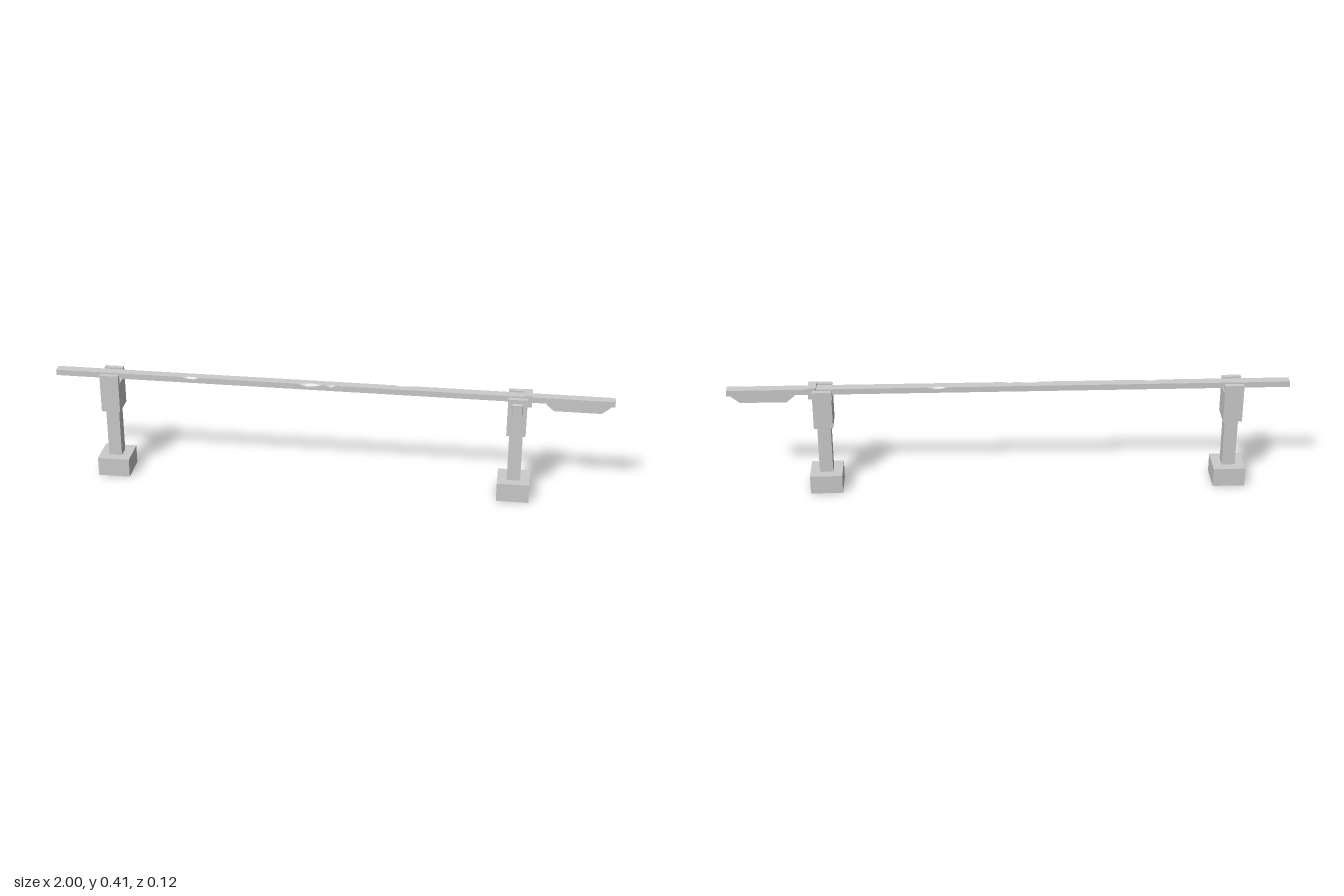
import * as THREE from 'three';

const material = new THREE.MeshStandardMaterial({ color: 0xcccccc, flatShading: true });

function add(parent, name, geometry, x = 0, y = 0, z = 0) {
  const mesh = new THREE.Mesh(geometry, material);
  mesh.name = name;
  mesh.position.set(x, y, z);
  parent.add(mesh);
  return mesh;
}

function box(parent, name, w, h, d, x, y, z) {
  return add(parent, name, new THREE.BoxGeometry(w, h, d), x, y, z);
}

function polygon(points) {
  return new THREE.Shape(points.map(([x, y]) => new THREE.Vector2(x, y)));
}

// Extrusion of an outline, centred on its depth
function slab(points, depth) {
  const geometry = new THREE.ExtrudeGeometry(polygon(points), { depth, bevelEnabled: false });
  return geometry.translate(0, 0, -depth / 2);
}

// Long bar lofted from six-sided sections; worn spots cut the top edges
function barGeometry() {
  const bottom = 0.379, top = 0.4, half = 0.017;
  // x, front edge cut, back edge cut
  const stations = [
    [-1, 0, 0], [-0.535, 0, 0], [-0.515, 0.007, 0], [-0.49, 0.006, 0], [-0.475, 0, 0],
    [-0.115, 0, 0], [-0.09, 0.008, 0], [-0.06, 0.008, 0], [-0.03, 0, 0],
    [-0.018, 0, 0], [0, 0.008, 0], [0.02, 0, 0],
    [0.225, 0, 0], [0.245, 0, 0.006], [0.265, 0, 0.006], [0.29, 0, 0], [1, 0, 0],
  ];
  const positions = [], index = [];
  stations.forEach(([x, f, b], i) => {
    positions.push(
      x, bottom, half, x, bottom, -half,
      x, top - b, -half, x, top, -half + b,
      x, top, half - f, x, top - f, half);
    if (i === 0) return;
    for (let k = 0; k < 6; k++) {
      const a = (i - 1) * 6 + k, c = (i - 1) * 6 + (k + 1) % 6;
      index.push(a, c, a + 6, c, c + 6, a + 6);
    }
  });
  const last = (stations.length - 1) * 6;
  for (let k = 1; k < 5; k++) {
    index.push(0, k + 1, k, last, last + k, last + k + 1);
  }
  const geometry = new THREE.BufferGeometry();
  geometry.setAttribute('position', new THREE.Float32BufferAttribute(positions, 3));
  geometry.setIndex(index);
  const flat = geometry.toNonIndexed();
  flat.computeVertexNormals();
  return flat;
}

// Footing, shaft and forked head that cradles the bar
function createPost(name, x) {
  const post = new THREE.Group();
  post.name = name;
  post.position.x = x;
  box(post, 'footing', 0.116, 0.07, 0.116, 0, 0.035, 0);
  box(post, 'shaft', 0.048, 0.19, 0.048, 0, 0.165, 0);
  const head = slab([
    [-0.046, 0.258], [0.046, 0.258], [0.046, 0.4], [0.029, 0.4],
    [0.029, 0.365], [-0.029, 0.365], [-0.029, 0.4], [-0.046, 0.4],
  ], 0.068);
  add(post, 'forkedHead', head.rotateY(Math.PI / 2));
  return post;
}

export function createModel() {
  const model = new THREE.Group();
  model.name = 'barrierGate';

  const pivotPost = createPost('pivotPost', 0.663);
  model.add(createPost('restPost', -0.798), pivotPost);

  add(model, 'barrierBar', barGeometry());

  // Collar around the bar beside the pivot post
  box(model, 'collar', 0.029, 0.044, 0.056, 0.698, 0.388, 0);

  // Counterweight under the short end of the bar
  add(model, 'counterweight', slab([
    [0.762, 0.38], [0.762, 0.372], [0.79, 0.348], [0.955, 0.348], [0.985, 0.372], [0.985, 0.38],
  ], 0.02));

  // Small lock plate on the front of the pivot post, tapered outwards
  const lock = new THREE.BoxGeometry(0.038, 0.04, 0.012);
  const p = lock.attributes.position;
  for (let i = 0; i < p.count; i++) {
    if (p.getZ(i) > 0) p.setXY(i, p.getX(i) * 0.9, p.getY(i) * 0.9);
  }
  lock.computeVertexNormals();
  add(pivotPost, 'lockPlate', lock, 0, 0.365, 0.051);

  return model;
}
